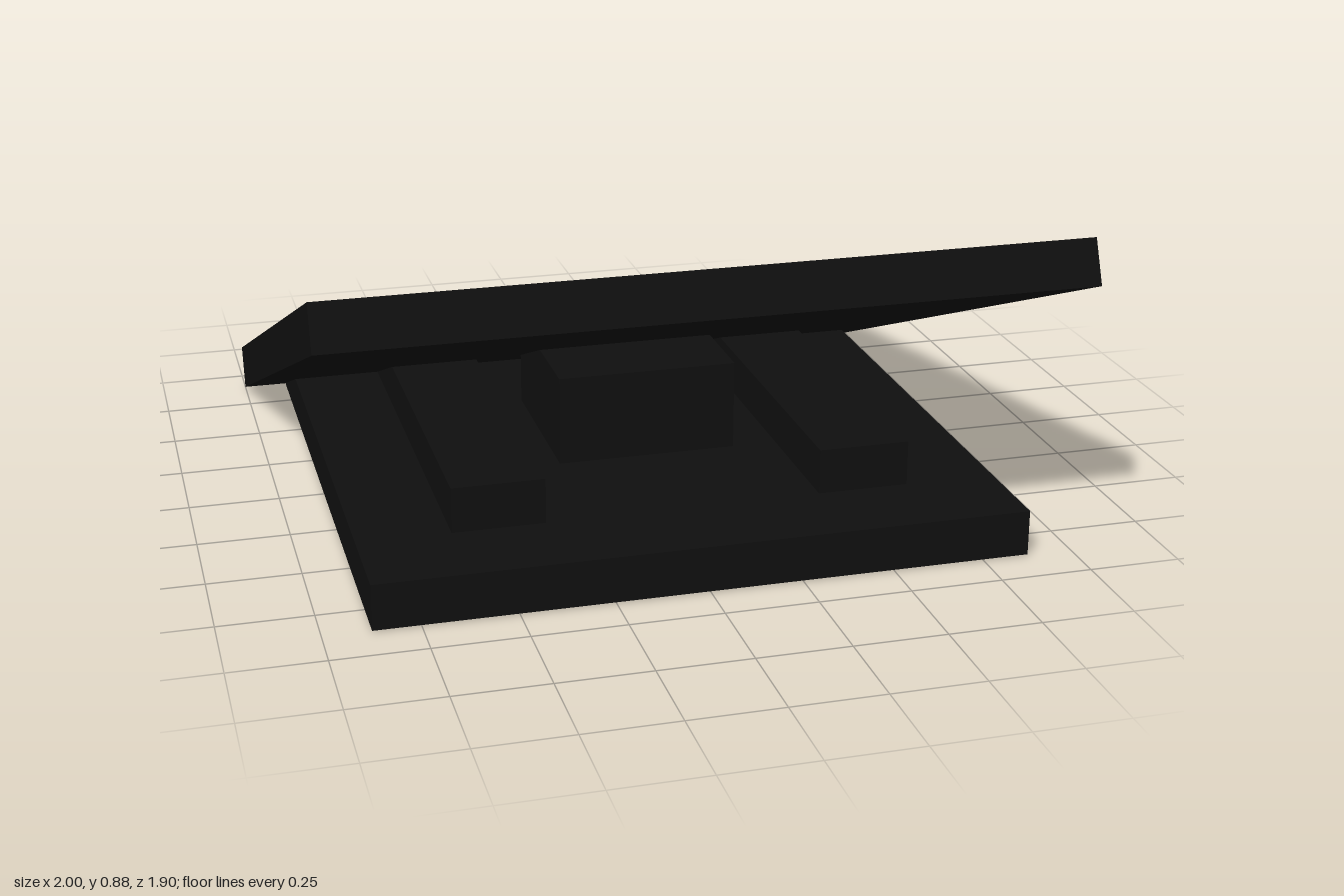
import * as THREE from 'three';

export function createModel() {
  const model = new THREE.Group();
  const nearBlack = new THREE.MeshStandardMaterial({ color: 0x0f0f0f });
  nearBlack.name = 'nearBlack';

  // Box given by its size and the centre of its bottom face
  function block(name, w, h, d, x, y) {
    const mesh = new THREE.Mesh(new THREE.BoxGeometry(w, h, d), nearBlack);
    mesh.name = name;
    mesh.position.set(x, y + h / 2, 0.002);
    model.add(mesh);
    return mesh;
  }

  const floor = 0.003;
  const step = 0.125;

  // Stepped base
  block('basePlate', 1.75, step, 1.75, 0, floor);
  block('centreBlock', 0.5, 2 * step, 0.5, 0, floor + step);
  for (const side of [-1, 1]) {
    block(side > 0 ? 'leftRail' : 'rightRail', 0.25, step, 1.25, side * 0.5, floor + step);
  }

  // Slanted lid, raised at the front and resting on its lower back edge
  const tilt = Math.PI / 8;
  const lid = block('slantedLid', 2, step, 2, 0, 0);
  lid.rotation.x = -tilt;
  lid.position.set(0, Math.sin(tilt) + (step / 2) * Math.cos(tilt), 0);

  return model;
}
